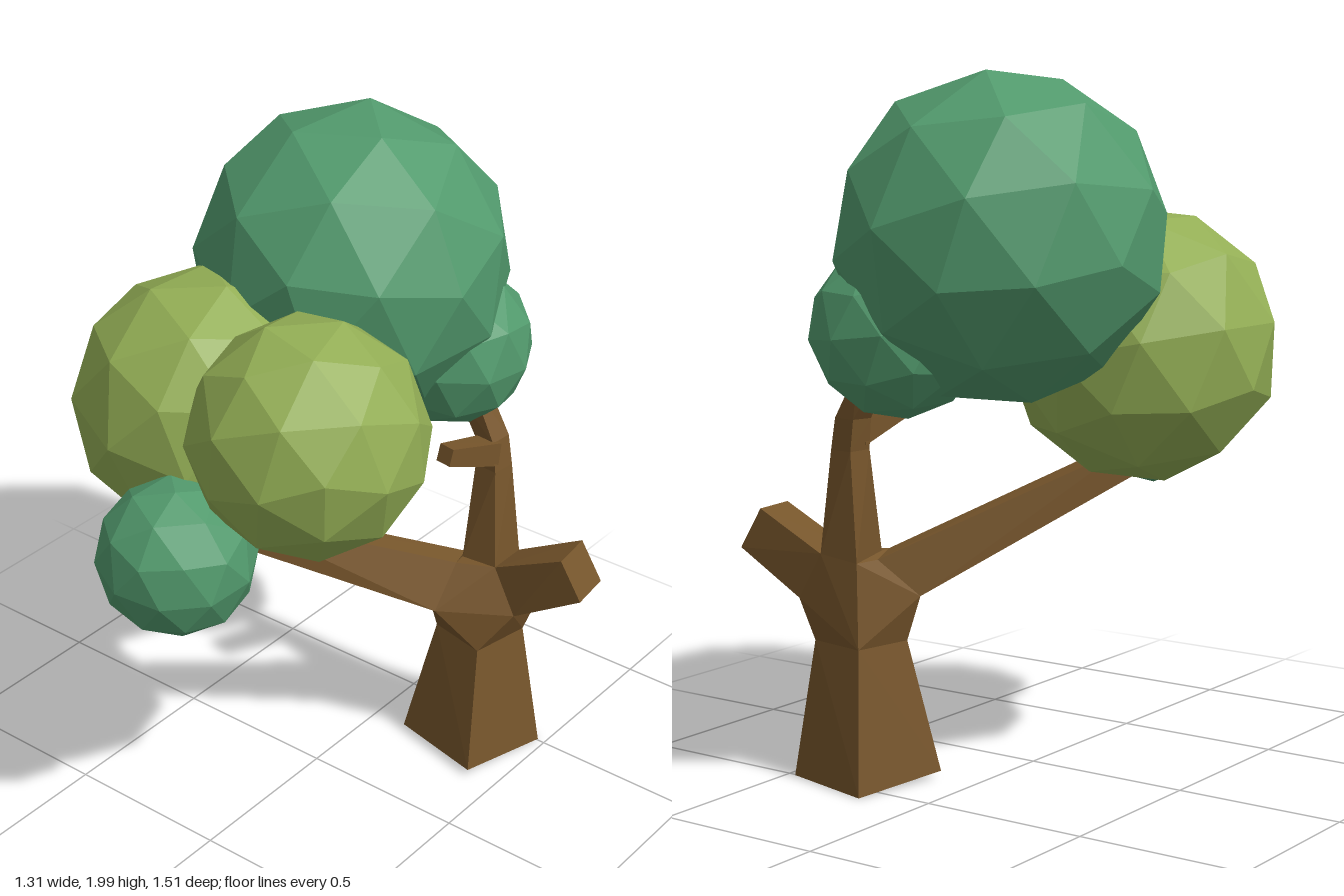
import * as THREE from 'three';
import { ConvexGeometry } from 'three/addons/geometries/ConvexGeometry.js';

const material = (color) => new THREE.MeshStandardMaterial({ color, flatShading: true });
const V = (p) => new THREE.Vector3(...p);

// Four corners of a square cross-section facing along a direction
function ring(center, direction, size) {
  const d = V(direction).normalize();
  const u = new THREE.Vector3().crossVectors(d, new THREE.Vector3(0, 1, 0));
  if (u.length() < 0.4) u.set(1, 0, 0.1);
  u.normalize();
  const v = new THREE.Vector3().crossVectors(u, d).normalize();
  return [[-1, -1], [1, -1], [1, 1], [-1, 1]].map(([a, b]) =>
    V(center).addScaledVector(u, a * size / 2).addScaledVector(v, b * size / 2).toArray());
}

export function createModel() {
  const tree = new THREE.Group();
  tree.name = 'tree';
  const bark = material(0x76552b);
  const darkLeaf = material(0x529a6d);
  const lightLeaf = material(0x93ae55);

  // A limb is a chain of solid pieces, each spanning two neighbouring cross-sections
  function limb(name, rings) {
    const group = new THREE.Group();
    group.name = name;
    for (let i = 0; i < rings.length - 1; i++) {
      const piece = new THREE.Mesh(new ConvexGeometry([...rings[i], ...rings[i + 1]].map(V)), bark);
      piece.name = name + 'Segment' + (i + 1);
      group.add(piece);
    }
    tree.add(group);
  }

  // Trunk, flaring toward a slightly turned square foot
  const foot = [[0.12, 0.02, -0.285], [0.41, 0.02, -0.22], [0.475, 0, -0.505], [0.185, 0, -0.575]];
  const neck = [[0.195, 0.4, -0.34], [0.37, 0.395, -0.305], [0.41, 0.4, -0.485], [0.23, 0.4, -0.515]];
  limb('trunk', [foot, neck]);

  // Fork where the three branches meet
  const frontBase = [[0.155, 0.53, -0.33], [0.26, 0.53, -0.235], [0.265, 0.655, -0.33], [0.235, 0.64, -0.42]];
  const sideBase = [[0.45, 0.52, -0.37], [0.45, 0.52, -0.505], [0.37, 0.655, -0.38], [0.37, 0.655, -0.505]];
  const upperBase = [[0.26, 0.655, -0.37], [0.245, 0.64, -0.5], sideBase[2], sideBase[3]];
  limb('fork', [neck, [...frontBase, ...sideBase, ...upperBase]]);

  // Branches
  limb('frontBranch', [frontBase,
    ring([-0.19, 0.885, 0.2], [-0.45, 0.33, 0.56], 0.085),
    ring([-0.25, 0.94, 0.29], [-0.45, 0.33, 0.56], 0.075)]);
  limb('sideBranch', [sideBase, ring([0.62, 0.705, -0.455], [0.86, 0.5, -0.1], 0.136)]);
  const bend = ring([0.3, 0.95, -0.455], [0, 1, 0], 0.075);
  limb('upperBranch', [upperBase, bend,
    ring([0.285, 1.04, -0.46], [-0.3, 1, 0], 0.07),
    ring([0.21, 1.17, -0.46], [-0.5, 0.85, 0], 0.065)]);
  limb('twig', [
    ring([0.295, 1.0, -0.44], [-0.1, 0.15, 1], 0.075),
    ring([0.265, 1.058, -0.255], [-0.15, 0.3, 1], 0.052)]);

  // Faceted foliage clumps: name, centre, radius, material, turn
  const clumps = [
    ['crownFoliage', [-0.11, 1.545, -0.305], 0.46, darkLeaf, [0.3, 0.4, 0.2]],
    ['rightFoliage', [-0.275, 1.225, 0.145], 0.39, lightLeaf, [-1.0, 0.3, 0.1]],
    ['leftFoliage', [0.195, 1.335, 0.28], 0.335, lightLeaf, [-1.0, 0.9, 0.15]],
    ['frontFoliage', [-0.06, 0.985, 0.535], 0.225, darkLeaf, [-0.9, 0.2, 0.1]],
    ['backFoliage', [0.125, 1.295, -0.46], 0.245, darkLeaf, [0.2, 1.1, 0.3]],
  ];
  for (const [name, center, radius, leaf, turn] of clumps) {
    const clump = new THREE.Mesh(new THREE.IcosahedronGeometry(radius, 1), leaf);
    clump.name = name;
    clump.position.set(...center);
    clump.rotation.set(...turn);
    tree.add(clump);
  }
  return tree;
}
